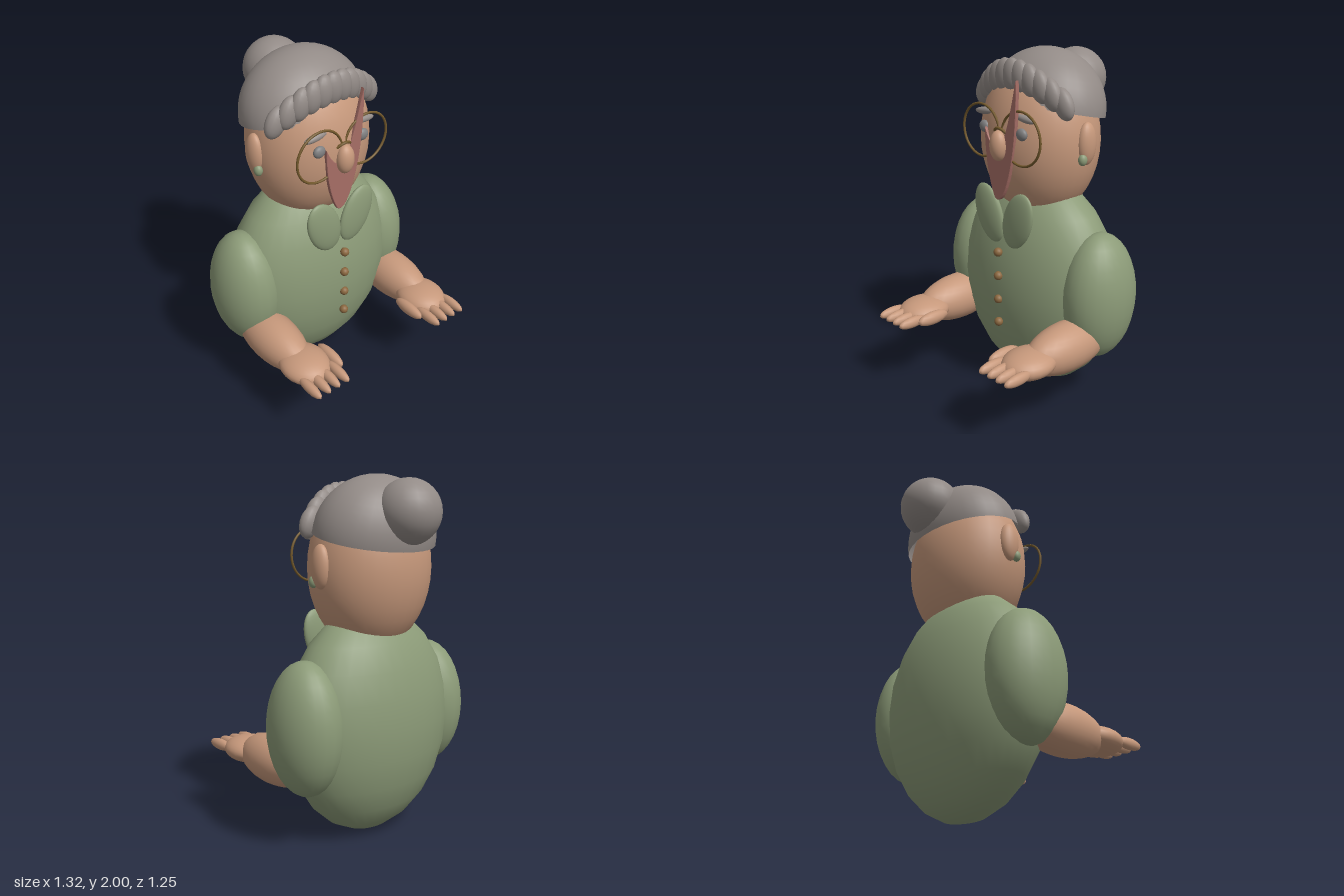
import * as THREE from 'three';

const paint = (name, color) => {
  const m = new THREE.MeshStandardMaterial({ color });
  m.name = name;
  return m;
};

export function createModel() {
  const model = new THREE.Group();
  model.name = 'grandmother';

  const dress = paint('sage green', 0x8c9b78);
  const skin = paint('skin', 0xc6987b);
  const hair = paint('grey hair', 0x938b87);
  hair.side = THREE.DoubleSide;
  const eyeGrey = paint('eye grey', 0x7f7f80);
  const lip = paint('lip red', 0xa66e66);
  const wire = paint('spectacle bronze', 0x73592c);
  const brown = paint('button brown', 0x8b6840);

  const add = (name, geometry, material, pos = [0, 0, 0], parent = model) => {
    const mesh = new THREE.Mesh(geometry, material);
    mesh.name = name;
    mesh.position.set(...pos);
    parent.add(mesh);
    return mesh;
  };
  // Ellipsoid from a centre and three radii
  const blob = (name, material, pos, radii, parent = model, w = 24, h = 16) =>
    add(name, new THREE.SphereGeometry(1, w, h).scale(...radii), material, pos, parent);

  // Torso and head
  blob('body', dress, [0, 0.645, -0.165], [0.55, 0.645, 0.328], model, 32, 12);
  blob('head', skin, [0, 1.5, -0.165], [0.36, 0.465, 0.317], model, 32, 20);
  blob('nose', skin, [0, 1.5, 0.155], [0.053, 0.085, 0.047]);

  // Hair cap tilted backwards, with a bun
  const cap = add('hairCap',
    new THREE.SphereGeometry(1, 32, 12, 0, Math.PI * 2, 0, Math.PI / 2).scale(0.372, 0.34, 0.3),
    hair, [0, 1.66, -0.2]);
  cap.rotation.x = -0.22;
  blob('hairBun', hair, [0, 1.8, -0.452], [0.175, 0.175, 0.175]);

  // Rolled fringe following an arch over the forehead
  const fringe = new THREE.Group();
  fringe.name = 'fringe';
  model.add(fringe);
  for (let i = -5; i <= 5; i++) {
    const t = i / 5;
    const curl = blob('fringeCurl', hair,
      [0.305 * t, 1.87 - 0.125 * t * t, 0.052 - 0.08 * t * t],
      [0.062, 0.092, 0.044], fringe, 16, 12);
    curl.rotation.z = 0.5 * t;
  }

  // Mouth: thin lens-edged plate with one drawn-out corner
  const mouthShape = new THREE.Shape();
  mouthShape.moveTo(0.127, 1.86);
  mouthShape.quadraticCurveTo(0.13, 1.48, 0.045, 1.27);
  mouthShape.quadraticCurveTo(0.0, 1.165, -0.04, 1.2);
  mouthShape.quadraticCurveTo(-0.11, 1.33, -0.116, 1.58);
  mouthShape.quadraticCurveTo(-0.07, 1.46, 0.0, 1.48);
  mouthShape.quadraticCurveTo(0.06, 1.55, 0.127, 1.86);
  add('mouth', new THREE.ExtrudeGeometry(mouthShape, {
    depth: 0.012, curveSegments: 12, bevelThickness: 0.006, bevelSize: 0.004, bevelSegments: 2,
  }), lip, [0, 0, 0.13]);

  // Spectacle bridge
  const bridge = new THREE.QuadraticBezierCurve3(
    new THREE.Vector3(-0.045, 1.575, 0.14),
    new THREE.Vector3(0, 1.62, 0.17),
    new THREE.Vector3(0.045, 1.575, 0.14));
  add('spectacleBridge', new THREE.TubeGeometry(bridge, 12, 0.008, 8), wire);

  // Buttons down the front
  for (let i = 0; i < 4; i++) {
    blob('button', brown, [0, 0.885 - i * 0.145, 0.165], [0.026, 0.026, 0.026], model, 16, 12);
  }

  // Paired parts
  for (const s of [1, -1]) {
    const side = s > 0 ? 'left' : 'right';

    // Face
    blob(side + 'Eye', eyeGrey, [0.147 * s, 1.58, 0.122], [0.037, 0.034, 0.022]);
    const brow = blob(side + 'Brow', hair, [0.16 * s, 1.663, 0.108], [0.074, 0.02, 0.02]);
    brow.rotation.z = -0.1 * s;
    blob(side + 'Ear', skin, [0.352 * s, 1.52, -0.163], [0.045, 0.118, 0.062]);
    blob(side + 'Earring', dress, [0.366 * s, 1.44, -0.12], [0.024, 0.033, 0.026]);
    add(side + 'SpectacleRim', new THREE.TorusGeometry(0.147, 0.007, 8, 40), wire,
      [0.156 * s, 1.56, 0.138]);

    // Collar
    const collar = blob(side + 'Collar', dress, [0.115 * s, 1.085, 0.122], [0.105, 0.175, 0.034]);
    collar.rotation.z = -0.38 * s;

    // Arm and hand
    const arm = new THREE.Group();
    arm.name = side + 'Arm';
    model.add(arm);
    blob('sleeve', dress, [0.468 * s, 0.67, -0.167], [0.192, 0.37, 0.236], arm);
    blob('forearm', skin, [0.463 * s, 0.44, 0.08], [0.136, 0.14, 0.3], arm);
    blob('palm', skin, [0.453 * s, 0.44, 0.36], [0.137, 0.075, 0.163], arm);
    for (let i = 0; i < 4; i++) {
      blob('finger', skin, [(0.35 + i * 0.0645) * s, 0.443, 0.525], [0.028, 0.033, 0.097], arm, 12, 10);
    }
    blob('thumb', skin, [0.307 * s, 0.447, 0.408], [0.033, 0.04, 0.108], arm, 12, 10);
  }

  return model;
}
